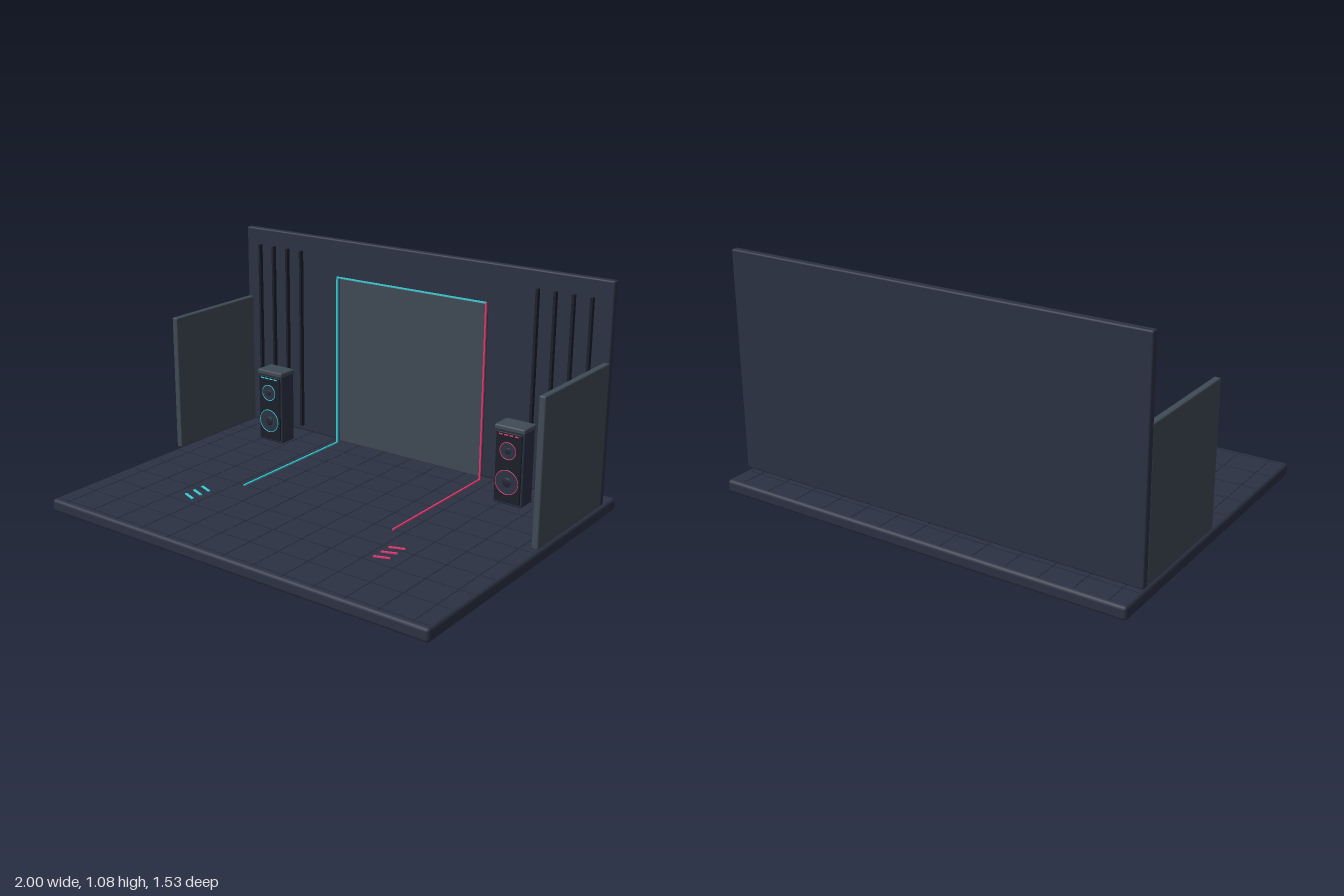
import * as THREE from 'three';
import { RoundedBoxGeometry } from 'three/addons/geometries/RoundedBoxGeometry.js';

const mat = (color) => new THREE.MeshStandardMaterial({ color });
const NAVY = mat(0x2b3243), SLATE = mat(0x3f4a55), DARK = mat(0x1b1f2a), SEAM = mat(0x222836);
const CYAN = mat(0x35d0d8), PINK = mat(0xe0386f);

export function createModel() {
  const model = new THREE.Group();

  const add = (name, geometry, material, x, y, z, parent = model) => {
    const mesh = new THREE.Mesh(geometry, material);
    mesh.name = name;
    mesh.position.set(x, y, z);
    parent.add(mesh);
    return mesh;
  };
  // Box given by its minimum and maximum corners, optionally with rounded edges
  const box = (name, material, [x0, y0, z0], [x1, y1, z1], radius = 0, parent = model) => {
    const size = [x1 - x0, y1 - y0, z1 - z0];
    const geometry = radius
      ? new RoundedBoxGeometry(...size, 2, radius)
      : new THREE.BoxGeometry(...size);
    return add(name, geometry, material, (x0 + x1) / 2, (y0 + y1) / 2, (z0 + z1) / 2, parent);
  };

  // Floor slab and its tile seams
  box('floorSlab', NAVY, [-1, 0, -0.765], [1, 0.06, 0.765], 0.015);
  const pitch = 0.153;
  for (let i = -6; i <= 6; i++) {
    const x = i * pitch;
    box('floorSeam', SEAM, [x - 0.002, 0.059, -0.75], [x + 0.002, 0.061, 0.75]);
  }
  for (let i = -4; i <= 5; i++) {
    const z = i * pitch - 0.03;
    box('floorSeam', SEAM, [-0.985, 0.059, z - 0.002], [0.985, 0.061, z + 0.002]);
  }

  // Back wall and large central panel
  box('backWall', NAVY, [-1, 0.07, -0.635], [1, 1.08, -0.6], 0.008);
  box('centrePanel', SLATE, [-0.405, 0.075, -0.602], [0.405, 0.9, -0.578], 0.004);
  box('panelTopLight', CYAN, [-0.414, 0.903, -0.572], [0.414, 0.909, -0.564]);

  for (const side of [-1, 1]) {
    const glow = side < 0 ? CYAN : PINK;

    // Low side wall
    const wallX = side * 0.985;
    box('sideWall', SLATE, [wallX - 0.015, 0.07, -0.605], [wallX + 0.015, 0.725, -0.04], 0.006);

    // Vertical wall slats
    for (let i = 0; i < 4; i++) {
      const x = side * (0.65 + i * 0.086);
      box('wallSlat', DARK, [x - 0.006, 0.1, -0.602], [x + 0.006, 1.0, -0.58]);
    }

    // Light strips beside the panel and along the floor
    const lightX = side * 0.411;
    box('panelSideLight', glow, [lightX - 0.004, 0.07, -0.572], [lightX + 0.004, 0.909, -0.564]);
    box('floorLight', glow, [lightX - 0.004, 0.064, -0.57], [lightX + 0.004, 0.07, 0.138]);

    // Slanted floor marks
    for (let i = 0; i < 3; i++) {
      const mark = add('floorMark', new THREE.BoxGeometry(0.07, 0.005, 0.011), glow,
        side * 0.525, 0.065, 0.273 + i * 0.054);
      mark.rotation.y = side * 0.36;
    }

    model.add(createSpeaker(glow, side * 0.67));
  }

  // Speaker cabinet with two drivers and a row of lights
  function createSpeaker(glow, x) {
    const speaker = new THREE.Group();
    speaker.name = 'speaker';
    speaker.position.set(x, 0, -0.41);
    box('cabinet', NAVY, [-0.072, 0.075, -0.05], [0.072, 0.425, 0.045], 0.008, speaker);
    box('cabinetCap', SLATE, [-0.075, 0.415, -0.053], [0.075, 0.44, 0.051], 0.007, speaker);
    box('cabinetFront', DARK, [-0.064, 0.088, 0.04], [0.064, 0.412, 0.052], 0.004, speaker);
    for (const [y, r] of [[0.33, 0.039], [0.185, 0.056]]) {
      const cone = add('driverCone', new THREE.CylinderGeometry(r, r, 0.008, 32), NAVY, 0, y, 0.053, speaker);
      cone.rotation.x = Math.PI / 2;
      add('driverRing', new THREE.TorusGeometry(r, 0.002, 6, 40), glow, 0, y, 0.057, speaker);
      const cap = add('dustCap', new THREE.SphereGeometry(r * 0.4, 20, 12), SEAM, 0, y, 0.056, speaker);
      cap.scale.z = 0.25;
    }
    for (let i = -1.5; i <= 1.5; i++) {
      box('indicatorLight', glow, [i * 0.026 - 0.009, 0.399, 0.05],
        [i * 0.026 + 0.009, 0.404, 0.056], 0, speaker);
    }
    return speaker;
  }

  return model;
}
